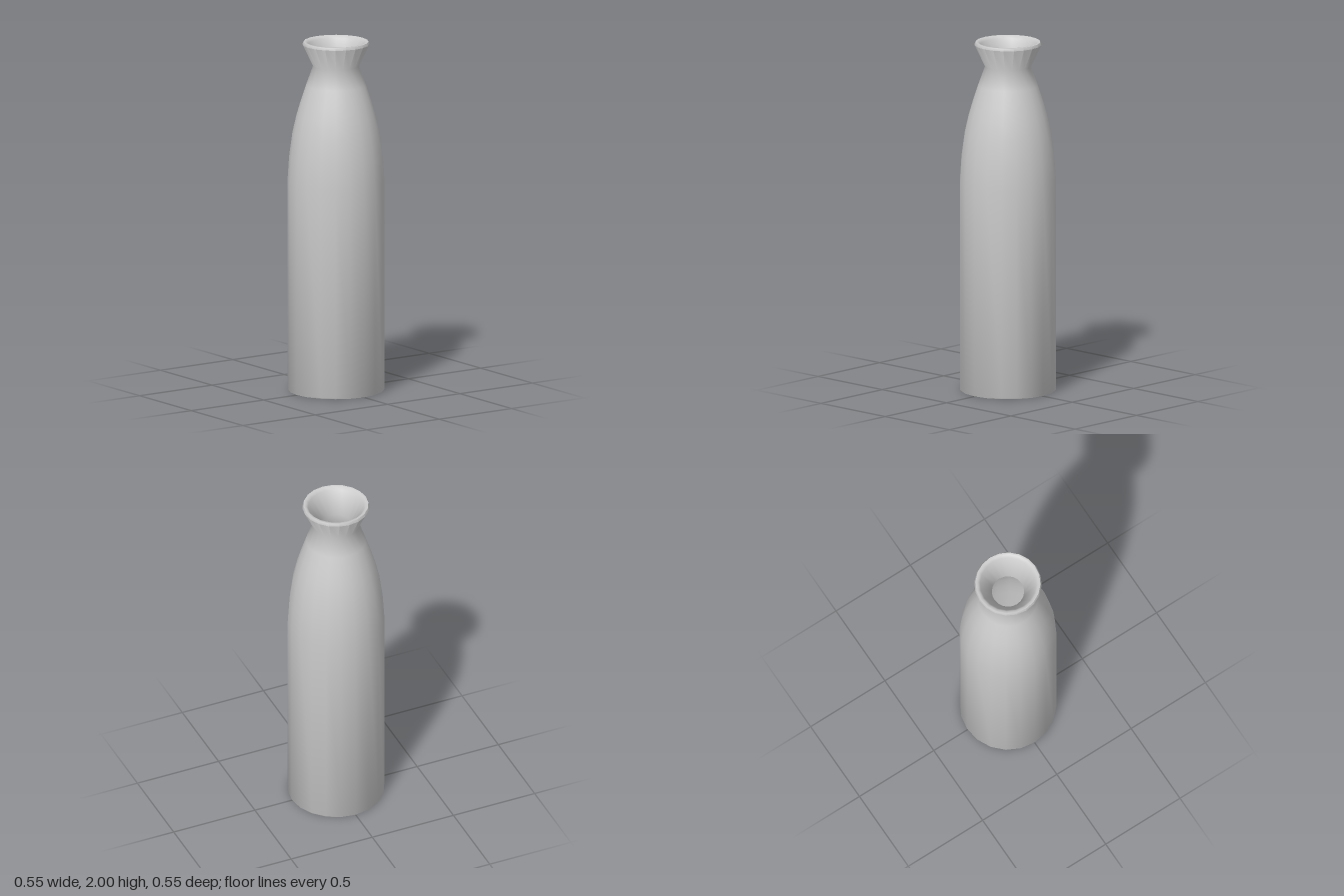
import * as THREE from 'three';
import { toCreasedNormals } from 'three/addons/utils/BufferGeometryUtils.js';

export function createModel() {
  const group = new THREE.Group();
  const material = new THREE.MeshStandardMaterial({ color: 0xcccccc });

  // One closed wall profile [radius, height]: up the outside, over the lip, down the inside
  const outside = [
    [0, 0], [0.27, 0], [0.273, 0.006], [0.273, 1.2], [0.264, 1.34], [0.245, 1.48],
    [0.222, 1.58], [0.2, 1.655], [0.169, 1.75], [0.13, 1.86],
  ];
  const lip = [[0.19, 1.985], [0.183, 2], [0.17, 2], [0.157, 1.985]];
  const inside = [
    [0.091, 1.86], [0.132, 1.75], [0.163, 1.655], [0.207, 1.48],
    [0.226, 1.34], [0.235, 1.2], [0.235, 0.04], [0, 0.04],
  ];
  const profile = [...outside, ...lip, ...inside].map(([r, y]) => new THREE.Vector2(r, y));

  // Smooth around the 20 sides, sharp at the base, floor and lip
  const bottle = new THREE.Mesh(
    toCreasedNormals(new THREE.LatheGeometry(profile, 20), 0.9),
    material
  );
  bottle.name = 'bottle';
  group.add(bottle);
  return group;
}
